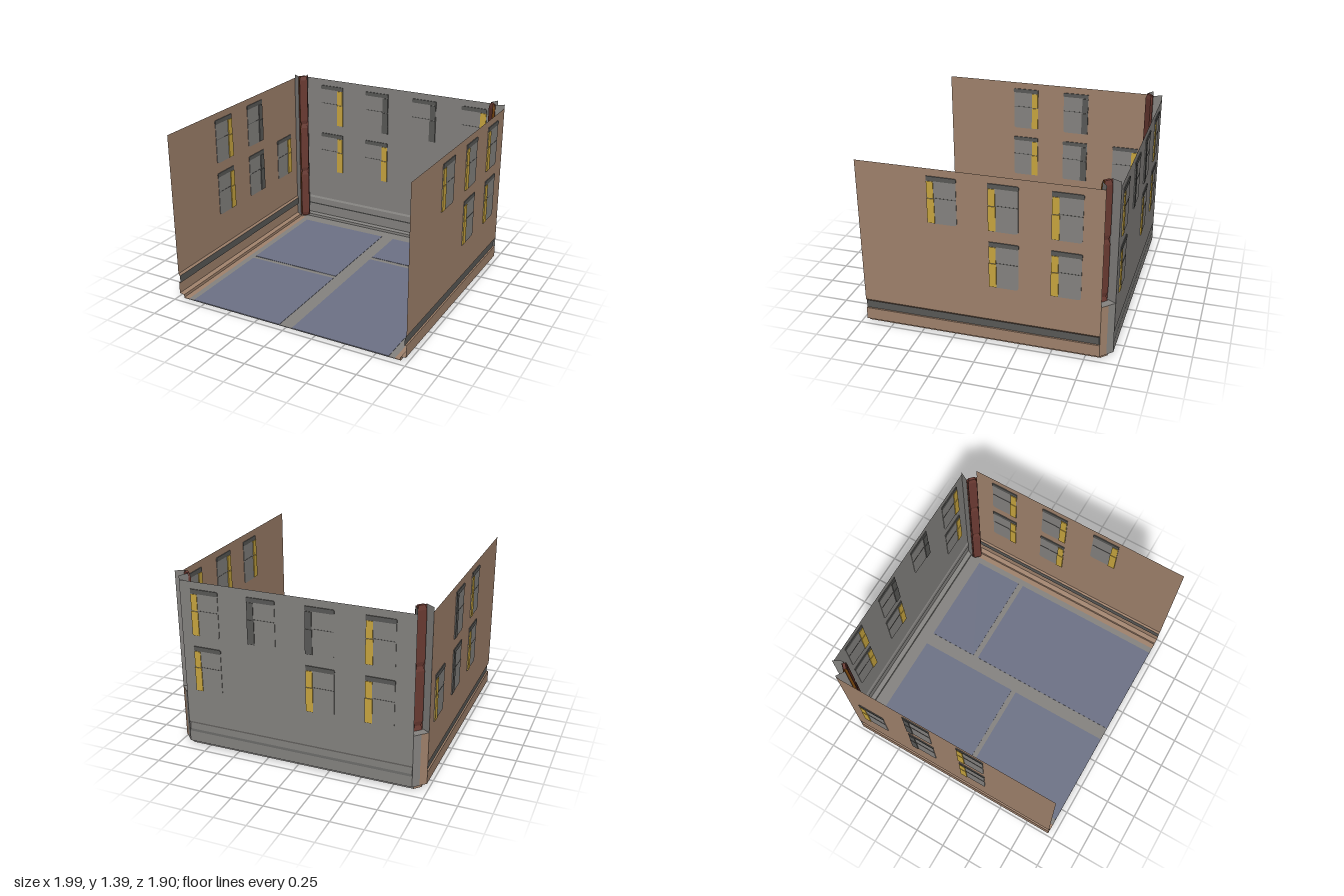
import * as THREE from 'three';

const mat = (name, color) => new THREE.MeshStandardMaterial({ name, color, side: THREE.DoubleSide });

export function createModel() {
  const model = new THREE.Group();
  model.name = 'openBuilding';
  const brown = mat('tan wall', 0xa0826c);
  const gray = mat('stone gray', 0x858380);
  const dark = mat('dark gray', 0x595957);
  const yellow = mat('yellow curtain', 0xc9a63f);
  const blue = mat('blue carpet', 0x6d7286);
  const red = mat('dark red column', 0x6a3a32);
  const rust = mat('rust column side', 0x70400c);

  const add = (name, geo, material, parent = model) => {
    const m = new THREE.Mesh(geo, material);
    m.name = name;
    parent.add(m);
    return m;
  };
  const box = (name, x0, x1, y0, y1, z0, z1, material, parent) =>
    add(name, new THREE.BoxGeometry(x1 - x0, y1 - y0, z1 - z0), material, parent)
      .position.set((x0 + x1) / 2, (y0 + y1) / 2, (z0 + z1) / 2);

  // flat four-cornered panel
  const quad = (name, a, b, c, d, material, parent) => {
    const g = new THREE.BufferGeometry();
    g.setAttribute('position', new THREE.Float32BufferAttribute([...a, ...b, ...c, ...a, ...c, ...d], 3));
    g.computeVertexNormals();
    return add(name, g, material, parent);
  };
  // upright panel between two plan points [x, z]
  const upright = (name, p, q, y0, y1, material, parent) =>
    quad(name, [p[0], y0, p[1]], [q[0], y0, q[1]], [q[0], y1, q[1]], [p[0], y1, p[1]], material, parent);

  // floor with tan margins and four carpets
  box('floor', -0.9, 0.9, 0.002, 0.006, -0.905, 0.95, gray);
  for (const s of [-1, 1]) {
    const [a, b] = s < 0 ? [-0.945, -0.9] : [0.9, 0.945];
    box('floorMargin', a, b, 0.002, 0.006, -0.86, 0.95, brown);
  }
  for (const [x0, x1, z0, z1] of [
    [-0.85, -0.06, -0.8, 0.07], [-0.85, -0.06, 0.11, 0.948],
    [0.05, 0.85, -0.8, -0.385], [0.05, 0.85, -0.34, 0.948],
  ]) box('carpet', x0, x1, 0, 0.009, z0, z1, blue);

  // wall profiles: [distance out, height, material of the strip up to the next point]
  const sideProfile = [
    [0.945, 0, brown], [0.945, 0.03, brown], [0.985, 0.036, brown], [0.985, 0.13, brown],
    [0.972, 0.13, dark], [0.972, 0.19, brown], [0.985, 0.207, brown], [0.985, 1.355],
  ];
  const backProfile = [
    [0.905, 0, gray], [0.905, 0.03, gray], [0.945, 0.036, gray], [0.945, 0.122, dark],
    [0.937, 0.138, gray], [0.937, 0.19, gray], [0.945, 0.207, gray], [0.945, 1.355],
  ];
  const wall = (name, profile, place, from, to) => {
    const g = new THREE.Group();
    g.name = name;
    model.add(g);
    for (let i = 0; i < profile.length - 1; i++) {
      const [d0, y0, m] = profile[i], [d1, y1] = profile[i + 1];
      quad('wallStrip', place(d0, y0, from), place(d0, y0, to), place(d1, y1, to), place(d1, y1, from), m, g);
    }
  };
  wall('rightWall', sideProfile, (d, y, t) => [-d, y, t], -0.86, 0.95);
  wall('leftWall', sideProfile, (d, y, t) => [d, y, t], -0.86, 0.95);
  wall('backWall', backProfile, (d, y, t) => [t, y, -d], -0.9, 0.9);

  // window: rounded panes, curtain at one edge, lintel on top; local z points outward
  const paneShape = (w, h, r) => {
    const s = new THREE.Shape();
    s.moveTo(0, 0);
    s.lineTo(w - r, 0);
    s.quadraticCurveTo(w, 0, w, r);
    s.lineTo(w, h - r);
    s.quadraticCurveTo(w, h, w - r, h);
    s.lineTo(0, h);
    return s;
  };
  const paneGeo = new THREE.ExtrudeGeometry(paneShape(0.218, 0.355, 0.025), { depth: 0.008, bevelEnabled: false });
  const lintelGeo = new THREE.ExtrudeGeometry(paneShape(0.222, 0.034, 0.015), { depth: 0.014, bevelEnabled: false });
  const windowAt = (x, z, turn, lower, curtain) => {
    const g = new THREE.Group();
    g.name = 'window';
    g.position.set(x, lower ? 0.485 : 0.935, z);
    g.rotation.y = turn;
    model.add(g);
    add('pane', paneGeo, gray, g).position.z = -0.004;
    box('crossBar', 0.055, 0.216, 0.198, 0.202, -0.006, 0.006, dark, g);
    box('lowerCurtain', 0, 0.055, 0.005, 0.194, -0.011, 0.01, curtain, g);
    box('upperCurtain', 0.002, 0.052, 0.2, 0.326, -0.01, 0.009, curtain, g);
    add('lintel', lintelGeo, dark, g).position.set(0, 0.33, -0.007);
  };
  // [position along the wall, upper curtain, lower curtain]
  for (const [x, up, low] of [[-0.54, yellow, yellow], [-0.09, dark, yellow], [0.36, dark, null], [0.81, yellow, yellow]]) {
    if (up) windowAt(x, -0.945, Math.PI, false, up);
    if (low) windowAt(x, -0.945, Math.PI, true, low);
  }
  for (const [z, up, low] of [[0.41, yellow, null], [-0.04, yellow, yellow], [-0.495, yellow, yellow]]) {
    if (up) windowAt(0.985, z, Math.PI / 2, false, up);
    if (low) windowAt(0.985, z, Math.PI / 2, true, low);
  }
  for (const [z, up, low] of [[0.145, yellow, yellow], [-0.305, dark, dark], [-0.755, null, yellow]]) {
    if (up) windowAt(-0.985, z, -Math.PI / 2, false, up);
    if (low) windowAt(-0.985, z, -Math.PI / 2, true, low);
  }

  // column block with tapered ends
  const blockGeo = (h) => {
    const g = new THREE.BoxGeometry(0.07, h, 0.036, 1, 3, 1);
    const p = g.attributes.position;
    for (let i = 0; i < p.count; i++) {
      const y = p.getY(i);
      if (Math.abs(y) > h * 0.4) p.setXYZ(i, p.getX(i) * 0.7, y, p.getZ(i) * 0.6);
      else p.setY(i, Math.sign(y) * (h / 2 - 0.035));
    }
    const flat = g.toNonIndexed();
    flat.computeVertexNormals();
    g.groups.forEach((k) => flat.addGroup(k.start, k.count, k.materialIndex));
    return flat;
  };

  // chamfered back corners with a recess closed by the column
  for (const s of [-1, 1]) {
    const g = new THREE.Group();
    g.name = s > 0 ? 'leftCorner' : 'rightCorner';
    model.add(g);
    const A = [0.985 * s, -0.86], B = [0.9 * s, -0.945], M = [0.9425 * s, -0.9025];
    const a = [0.945 * s, -0.86], b = [0.9 * s, -0.905];
    const C = [0.922 * s, -0.818], D = [0.862 * s, -0.876];
    const at = (p, y) => [p[0], y, p[1]];
    upright('cornerBase', a, b, 0, 0.03, brown, g);
    quad('cornerFloor', at(a, 0.004), at(b, 0.004), [0.9 * s, 0.004, -0.86], [0.9 * s, 0.004, -0.86], gray, g);
    quad('cornerLedge', at(a, 0.03), at(b, 0.03), at(B, 0.036), at(A, 0.036), gray, g);
    upright('cornerTanPanel', A, M, 0.036, 0.45, brown, g);
    upright('cornerGrayPanel', M, B, 0.036, 0.45, gray, g);
    quad('recessSill', at(A, 0.45), at(B, 0.45), at(D, 0.45), at(C, 0.45), gray, g);
    upright('sideFlange', A, C, 0.036, 1.387, gray, g);
    upright('backFlange', B, D, 0.036, 1.387, gray, g);
    upright('columnBacking', C, D, 0.036, 1.387, red, g);
    // the end of each block next to the side wall is rust
    const sides = [s > 0 ? rust : red, s > 0 ? red : rust, red, red, red, red];
    for (const [y0, y1] of [[0.035, 0.485], [0.485, 0.94], [0.94, 1.387]]) {
      const m = add('columnBlock', blockGeo(y1 - y0), sides, g);
      m.position.set(0.891 * s, (y0 + y1) / 2, -0.845);
      m.rotation.y = -s * Math.PI / 4;
    }
  }
  return model;
}
